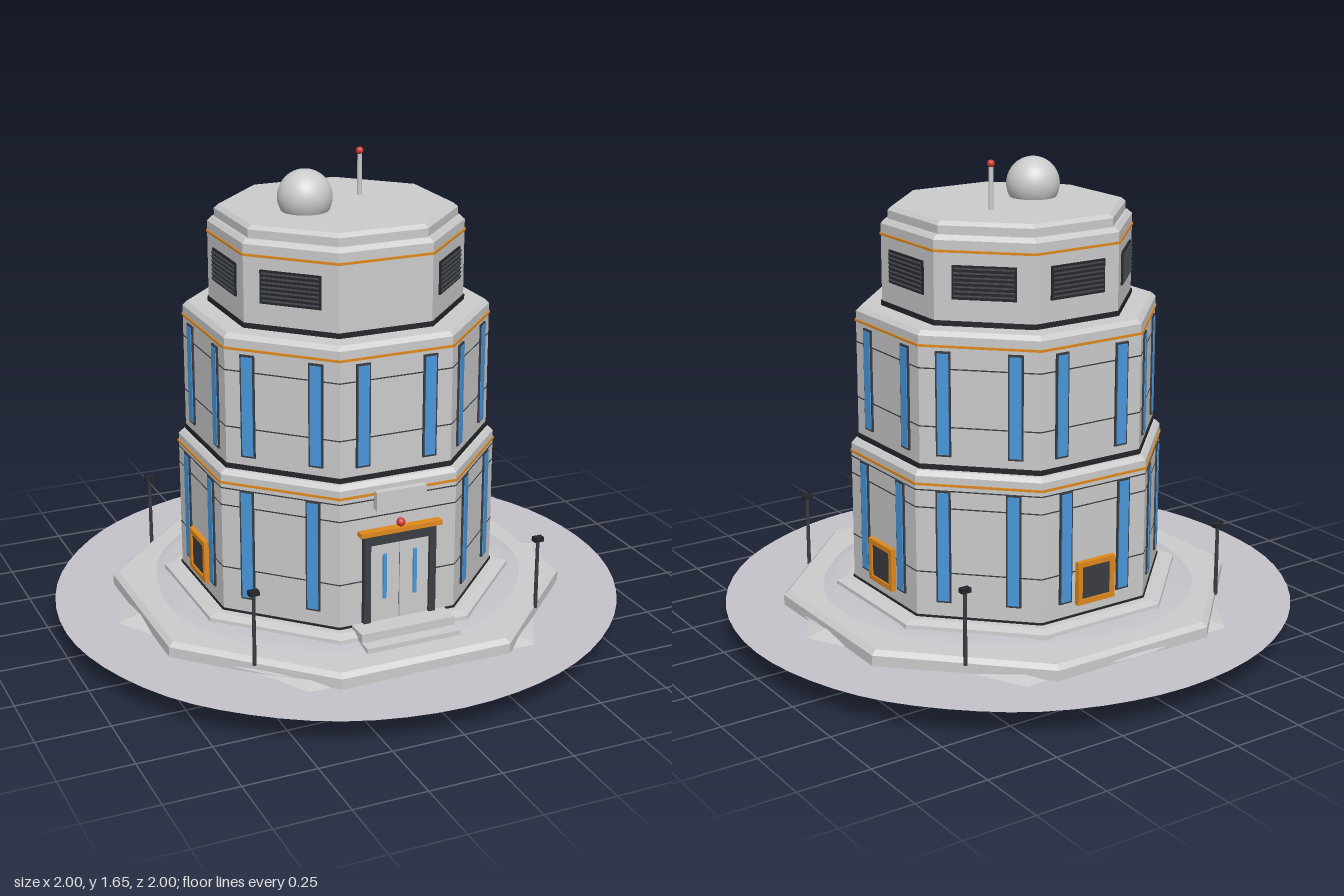
import * as THREE from 'three';

const mat = (color, opts = {}) => new THREE.MeshStandardMaterial({ color, ...opts });
const grey = mat(0xcccccc, { flatShading: true });
const smoothGrey = mat(0xcccccc);
const ground = mat(0xc6c2ca, { side: THREE.DoubleSide });
const dark = mat(0x3a3d42);
const black = mat(0x24262a, { flatShading: true });
const blue = mat(0x4a98dc);
const orange = mat(0xe08a1e, { flatShading: true });
const red = mat(0xd03a30);
const beige = mat(0xd8c8a0, { side: THREE.DoubleSide });

function add(parent, name, geometry, material, x = 0, y = 0, z = 0) {
  const mesh = new THREE.Mesh(geometry, material);
  mesh.name = name;
  mesh.position.set(x, y, z);
  parent.add(mesh);
  return mesh;
}

const box = (parent, name, material, w, h, d, x, y, z) =>
  add(parent, name, new THREE.BoxGeometry(w, h, d), material, x, y, z);

// Octagonal slab with flat sides towards the axes, sized by its apothems
function octagon(parent, name, material, bottom, top, y0, y1) {
  const k = 1 / Math.cos(Math.PI / 8);
  const geometry = new THREE.CylinderGeometry(top * k, bottom * k, y1 - y0, 8).rotateY(Math.PI / 8);
  return add(parent, name, geometry, material, 0, (y0 + y1) / 2, 0);
}

// Group turned to one of the eight faces; local +z points outwards
function face(parent, i) {
  const g = new THREE.Group();
  g.name = 'face' + i;
  g.rotation.y = i * Math.PI / 4;
  parent.add(g);
  return g;
}

function lathe(points, segments = 64) {
  return new THREE.LatheGeometry(points.map(p => new THREE.Vector2(...p)), segments);
}

// Make a lathed surface slightly uneven
function roughen(geometry, radial, height) {
  const p = geometry.attributes.position;
  for (let i = 0; i < p.count; i++) {
    const x = p.getX(i), z = p.getZ(i), a = Math.atan2(z, x);
    const s = 1 + radial * (Math.sin(3 * a + 1) + 0.6 * Math.sin(7 * a));
    p.setXYZ(i, x * s, p.getY(i) + height * Math.sin(9 * x + 1) * Math.cos(8 * z), z * s);
  }
  geometry.computeVertexNormals();
  return geometry;
}

function buildGround(root) {
  const g = new THREE.Group();
  g.name = 'groundBase';
  root.add(g);
  add(g, 'terrain', roughen(lathe([[0.45, 0.1], [0.6, 0.1], [0.75, 0.1], [0.88, 0.1], [1, 0.1]]), 0, 0.002), ground);
  add(g, 'mound', roughen(lathe([[0.74, 0.11], [0.67, 0.145], [0.6, 0.163], [0.3, 0.165], [0, 0.165]]), 0.012, 0), ground);
  add(g, 'underside', lathe([[0, 0.004], [0.05, 0.012], [0.1, 0.004], [0.2, 0.011], [0.3, 0.028],
    [0.4, 0.054], [0.48, 0.086], [0.53, 0.097], [0.62, 0.102]]), ground);
  add(g, 'undersideDisc', new THREE.CircleGeometry(0.25, 48).rotateX(Math.PI / 2), beige, 0, 0.008, 0);
  add(g, 'rockSlab', new THREE.CylinderGeometry(0.68, 0.83, 0.035, 6).rotateY(Math.PI / 2), grey, 0, 0.1145, 0);
  octagon(g, 'platform', grey, 0.737, 0.737, 0.096, 0.135);
  octagon(g, 'platformBevel', grey, 0.737, 0.72, 0.135, 0.15);
  octagon(g, 'plinth', grey, 0.57, 0.565, 0.12, 0.175);
  octagon(g, 'plinthBevel', grey, 0.565, 0.535, 0.175, 0.185);
  box(g, 'lowerStep', grey, 0.34, 0.045, 0.1, 0, 0.145, 0.59);
  box(g, 'upperStep', grey, 0.34, 0.035, 0.08, 0, 0.18, 0.555);
  for (const x of [-0.52, 0.52]) for (const z of [-0.525, 0.525]) {
    add(g, 'lampPost', new THREE.CylinderGeometry(0.006, 0.007, 0.26, 8), dark, x, 0.26, z);
    box(g, 'lampHead', black, 0.034, 0.016, 0.024, x, 0.388, z);
  }
}

// One storey: dark foot, wall, chamfered cap, orange stripe and panel seams
function buildTier(root, name, a, y0, y1, stripe, seams) {
  const g = new THREE.Group();
  g.name = name;
  root.add(g);
  octagon(g, 'footBand', black, a + 0.004, a + 0.004, y0 - 0.005, y0 + 0.012);
  octagon(g, 'wall', grey, a, a, y0, y1 - 0.015);
  octagon(g, 'capBevel', grey, a, a - 0.014, y1 - 0.015, y1);
  octagon(g, 'orangeStripe', orange, a + 0.004, a + 0.004, stripe - 0.004, stripe + 0.004);
  for (const y of seams) octagon(g, 'panelSeam', dark, a + 0.001, a + 0.001, y - 0.002, y + 0.002);
  return g;
}

function windowStrip(parent, x, y0, y1, a) {
  const h = y1 - y0, y = (y0 + y1) / 2;
  box(parent, 'windowFrame', dark, 0.05, h + 0.008, 0.012, x, y, a);
  box(parent, 'windowPane', blue, 0.038, h - 0.006, 0.018, x, y, a);
}

function hatch(parent, a) {
  for (const s of [-1, 1]) {
    box(parent, 'hatchFrameSide', orange, 0.018, 0.15, 0.036, s * 0.066, 0.302, a);
    box(parent, 'hatchFrameRail', orange, 0.15, 0.018, 0.036, 0, 0.302 + s * 0.066, a);
  }
  box(parent, 'hatchPanel', dark, 0.116, 0.116, 0.024, 0, 0.302, a);
}

function vent(parent, a) {
  box(parent, 'ventBack', black, 0.212, 0.112, 0.012, 0, 1.302, a);
  for (let i = 0; i < 7; i++) {
    const slat = box(parent, 'ventSlat', dark, 0.2, 0.008, 0.014, 0, 1.257 + i * 0.015, a + 0.005);
    slat.rotation.x = 0.5;
  }
}

function buildDoor(parent, a) {
  for (const s of [-1, 1]) {
    box(parent, 'doorJamb', dark, 0.024, 0.32, 0.04, s * 0.119, 0.35, a);
    box(parent, 'doorLeaf', smoothGrey, 0.104, 0.28, 0.024, s * 0.0535, 0.335, a);
    box(parent, 'doorHandle', blue, 0.013, 0.16, 0.008, s * 0.055, 0.357, a + 0.014);
  }
  box(parent, 'doorBack', black, 0.22, 0.3, 0.014, 0, 0.35, a);
  box(parent, 'doorLintel', dark, 0.262, 0.036, 0.04, 0, 0.493, a);
  box(parent, 'doorCanopy', orange, 0.295, 0.016, 0.06, 0, 0.52, a);
  add(parent, 'doorLamp', new THREE.SphereGeometry(0.015, 16, 10), red, 0, 0.543, a + 0.018);
  box(parent, 'blankPlate', grey, 0.18, 0.064, 0.03, 0, 0.63, a + 0.01);
}

function buildRoof(root) {
  const g = new THREE.Group();
  g.name = 'roof';
  root.add(g);
  octagon(g, 'roofLid', grey, 0.378, 0.378, 1.44, 1.48);
  octagon(g, 'roofLidBevel', grey, 0.378, 0.365, 1.48, 1.493);
  add(g, 'radarDome', new THREE.SphereGeometry(0.092, 32, 20), smoothGrey, -0.13, 1.538, 0.04);
  add(g, 'antenna', new THREE.CylinderGeometry(0.008, 0.009, 0.15, 10), smoothGrey, 0.125, 1.565, -0.085);
  add(g, 'antennaLight', new THREE.SphereGeometry(0.013, 14, 10), red, 0.125, 1.645, -0.085);
}

export function createModel() {
  const root = new THREE.Group();
  root.name = 'tower';
  buildGround(root);

  const a1 = 0.507, a2 = 0.483, a3 = 0.4;
  const lower = buildTier(root, 'lowerTier', a1, 0.18, 0.692, 0.65, [0.345, 0.57, 0.63]);
  const middle = buildTier(root, 'middleTier', a2, 0.7, 1.157, 1.11, [0.84, 1.035]);
  const upper = buildTier(root, 'upperTier', a3, 1.162, 1.452, 1.402, []);

  // Face 0 is the front; even faces lie on the axes
  for (let i = 0; i < 8; i++) {
    const low = face(lower, i), mid = face(middle, i), up = face(upper, i);
    for (const s of [-1, 1]) {
      if (i > 0) windowStrip(low, s * 0.117, 0.245, 0.628, a1);
      windowStrip(mid, s * 0.119, 0.745, 1.09, a2);
    }
    if (i === 0) buildDoor(low, a1);
    else {
      if (i % 2 === 0) hatch(low, a1);
      vent(up, a3);
    }
  }
  buildRoof(root);
  return root;
}
